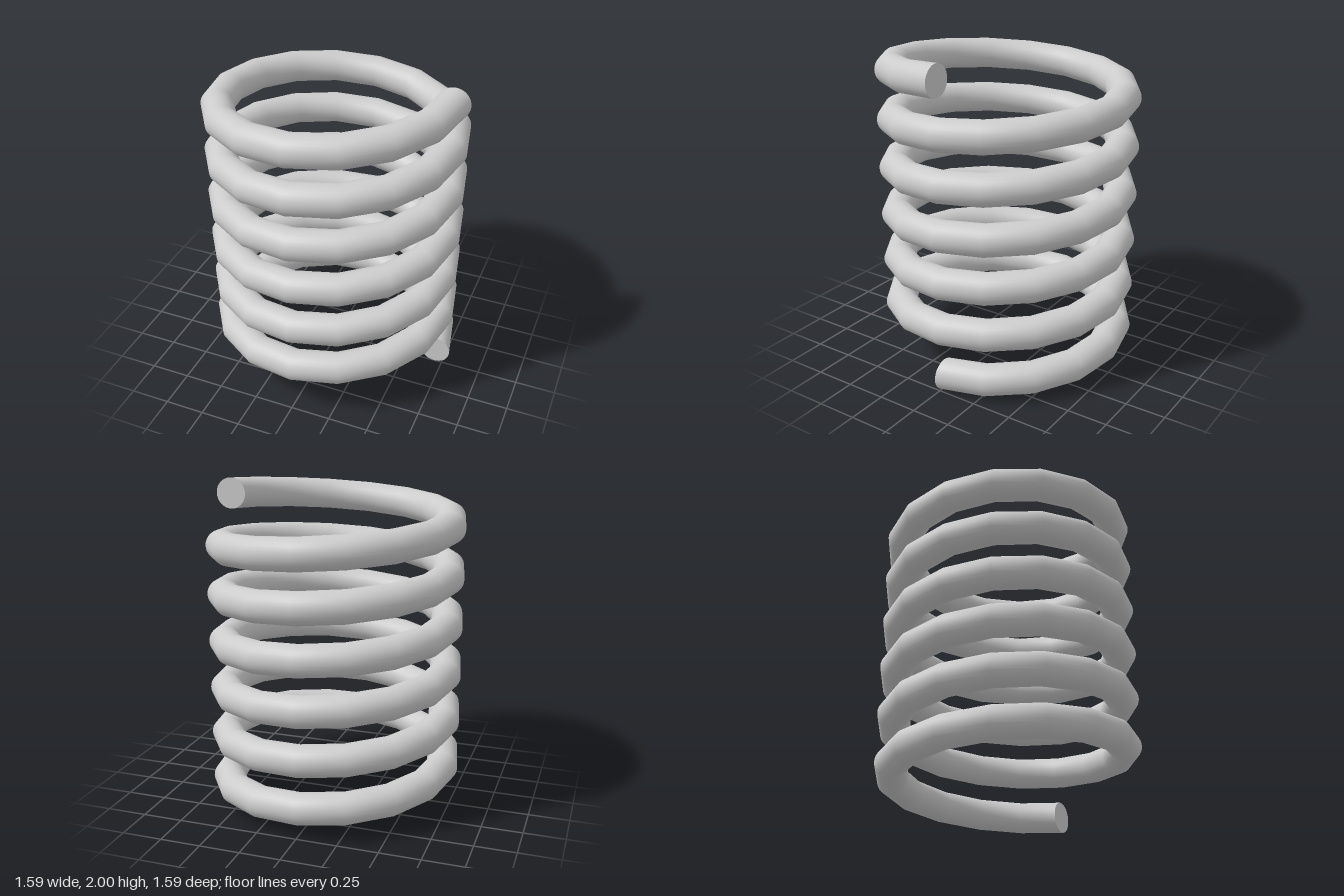
import * as THREE from 'three';

const TURNS = 6, STEPS = 16, SIDES = 32; // steps per turn, sides of the wire
const COIL_R = 0.698, WIRE_R = 0.097;
const Y0 = WIRE_R, Y1 = 2 - WIRE_R;

// Wire swept along a helix; every section stands upright in a radial plane
function coilGeometry() {
  const rings = TURNS * STEPS, pos = [], index = [];
  for (let i = 0; i <= rings; i++) {
    const a = (i / STEPS) * Math.PI * 2;
    const y = Y0 + (Y1 - Y0) * (i / rings);
    for (let j = 0; j < SIDES; j++) {
      const b = (j / SIDES) * Math.PI * 2;
      const r = COIL_R + WIRE_R * Math.cos(b);
      pos.push(r * Math.cos(a), y + WIRE_R * Math.sin(b), -r * Math.sin(a));
    }
  }
  for (let i = 0; i < rings; i++) {
    for (let j = 0; j < SIDES; j++) {
      const k = (j + 1) % SIDES;
      const p = i * SIDES + j, q = p + SIDES;
      const s = i * SIDES + k, t = s + SIDES;
      index.push(p, q, s, q, t, s);
    }
  }
  const geo = new THREE.BufferGeometry();
  geo.setAttribute('position', new THREE.Float32BufferAttribute(pos, 3));
  geo.setIndex(index);
  geo.computeVertexNormals();
  return geo;
}

export function createModel() {
  const group = new THREE.Group();
  group.name = 'coilSpring';
  const material = new THREE.MeshStandardMaterial({ color: 0xcccccc });

  const coil = new THREE.Mesh(coilGeometry(), material);
  coil.name = 'coil';
  group.add(coil);

  // Flat cut ends: the lower faces front, the upper faces back
  const addEnd = (name, y, turn) => {
    const end = new THREE.Mesh(new THREE.CircleGeometry(WIRE_R, SIDES), material);
    end.name = name;
    end.position.set(COIL_R, y, 0);
    end.rotation.y = turn;
    group.add(end);
  };
  addEnd('lowerEnd', Y0, 0);
  addEnd('upperEnd', Y1, Math.PI);

  return group;
}
